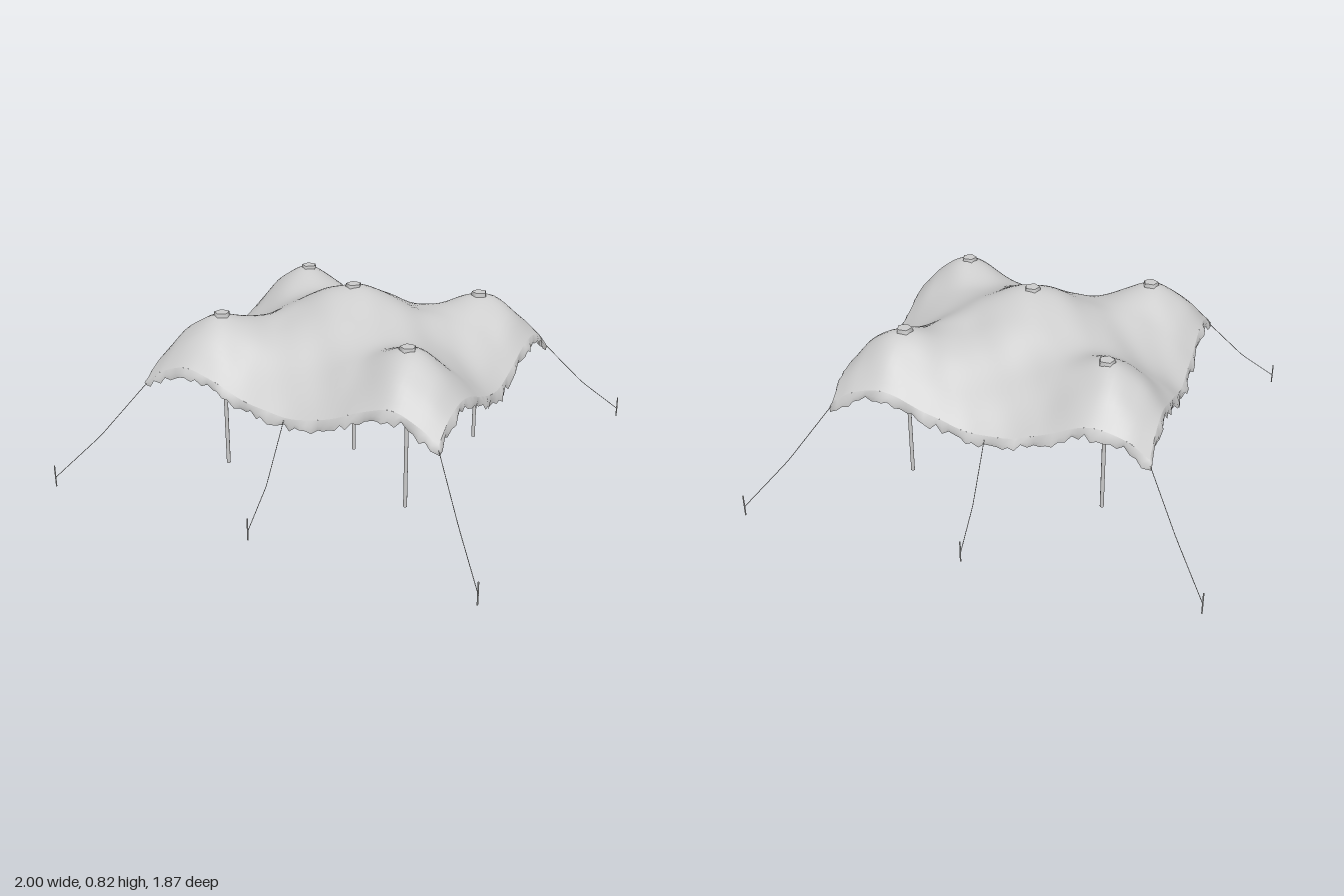
import * as THREE from 'three';

const HX = 0.695, HZ = 0.625; // half size of the cloth
const POLE_X = 0.448, POLE_Z = 0.387;

// canopy heights for one quarter: rows run out along z, columns along x
const KX = [0, 0.225, 0.45, 0.6, HX];
const KZ = [0, 0.19, 0.387, 0.52, HZ];
const HEIGHTS = [
  [0.81, 0.735, 0.60, 0.51, 0.435],
  [0.74, 0.69, 0.645, 0.565, 0.485],
  [0.60, 0.635, 0.725, 0.655, 0.55],
  [0.51, 0.55, 0.66, 0.60, 0.525],
  [0.42, 0.465, 0.55, 0.515, 0.455],
];

// smooth curve through values at uneven knots, mirrored about zero
function spline(knots, values, t) {
  const n = knots.length;
  let i = 0;
  while (i < n - 2 && t > knots[i + 1]) i++;
  const slope = (k) => {
    if (k === 0) return 0;
    const a = k - 1, b = Math.min(k + 1, n - 1);
    return (values[b] - values[a]) / (knots[b] - knots[a]);
  };
  const w = knots[i + 1] - knots[i], s = (t - knots[i]) / w;
  const s2 = s * s, s3 = s2 * s;
  return values[i] * (2 * s3 - 3 * s2 + 1) + slope(i) * w * (s3 - 2 * s2 + s)
    + values[i + 1] * (3 * s2 - 2 * s3) + slope(i + 1) * w * (s3 - s2);
}

function clothHeight(x, z) {
  const ax = Math.min(Math.abs(x), HX), az = Math.min(Math.abs(z), HZ);
  const column = HEIGHTS.map((row) => spline(KX, row, ax));
  const wrinkle = 0.004 * Math.sin(17 * x + 9 * z) * Math.cos(14 * z - 6 * x + 1)
    + 0.002 * Math.sin(31 * x - 23 * z);
  return spline(KZ, column, az) + wrinkle;
}

function seeded(seed) {
  let s = seed;
  return () => (s = (s * 16807) % 2147483647) / 2147483647;
}

export function createModel() {
  const model = new THREE.Group();
  model.name = 'canopyTent';
  const grey = new THREE.MeshStandardMaterial({ color: 0xcccccc, side: THREE.DoubleSide });
  grey.name = 'lightGrey';

  const add = (geometry, name, x = 0, y = 0, z = 0) => {
    const mesh = new THREE.Mesh(geometry, grey);
    mesh.name = name;
    mesh.position.set(x, y, z);
    model.add(mesh);
    return mesh;
  };

  // draped cloth
  const cloth = new THREE.PlaneGeometry(HX * 2, HZ * 2, 56, 50).rotateX(-Math.PI / 2);
  const p = cloth.attributes.position;
  for (let i = 0; i < p.count; i++) p.setY(i, clothHeight(p.getX(i), p.getZ(i)));
  cloth.computeVertexNormals();
  add(cloth, 'canopy');

  // ragged hem hanging round the edge
  const corners = [[-HX, HZ], [HX, HZ], [HX, -HZ], [-HX, -HZ]];
  const perSide = 52, total = perSide * 4;
  const hem = new THREE.PlaneGeometry(1, 1, total, 2);
  const h = hem.attributes.position;
  const random = seeded(77);
  const teeth = Array.from({ length: total }, (_, i) => ({
    drop: 0.025 + 0.014 * (i % 2) + 0.022 * random(),
    out: 0.004 + 0.012 * random() + 0.008 * Math.sin(i * 0.9),
  }));
  for (let i = 0; i <= total; i++) {
    const k = i % total, side = Math.floor(k / perSide), f = (k % perSide) / perSide;
    const a = corners[side], b = corners[(side + 1) % 4];
    const x = a[0] + (b[0] - a[0]) * f, z = a[1] + (b[1] - a[1]) * f;
    const y = clothHeight(x, z);
    // push outwards along the side, diagonally at the corners
    const nx = Math.abs(x) > HX - 0.001 ? Math.sign(x) : 0;
    const nz = Math.abs(z) > HZ - 0.001 ? Math.sign(z) : 0;
    for (let row = 0; row < 3; row++) {
      const q = row / 2, out = teeth[k].out * q + 0.006 * Math.sin(q * Math.PI);
      h.setXYZ(row * (total + 1) + i, x + nx * out, y - teeth[k].drop * q, z + nz * out);
    }
  }
  hem.computeVertexNormals();
  add(hem, 'raggedHem');

  // poles with five-sided caps
  const poles = [[0, 0]];
  for (const sx of [-1, 1]) for (const sz of [-1, 1]) poles.push([sx * POLE_X, sz * POLE_Z]);
  for (const [x, z] of poles) {
    const top = x === 0 ? 0.815 : 0.73;
    add(new THREE.CylinderGeometry(0.009, 0.009, top, 8), 'pole', x, top / 2, z);
    add(new THREE.CylinderGeometry(0.034, 0.038, 0.018, 5), 'poleCap', x, top - 0.004, z);
  }

  // guy ropes and ground stakes at the corners and the middle of front and back
  for (const sz of [-1, 1]) {
    for (const sx of [-1, 0, 1]) {
      const rope = new THREE.CurvePath();
      const points = [
        [0.695 * sx, sx ? 0.44 : 0.41, 0.63 * sz],
        [0.85 * sx, sx ? 0.215 : 0.175, 0.78 * sz],
        [sx, 0.04, 0.932 * sz],
      ].map((v) => new THREE.Vector3(...v));
      rope.add(new THREE.LineCurve3(points[0], points[1]));
      rope.add(new THREE.LineCurve3(points[1], points[2]));
      add(new THREE.TubeGeometry(rope, 12, 0.0016, 5), 'guyRope');
      add(new THREE.CylinderGeometry(0.003, 0.003, 0.1, 6), 'stake', sx * 0.997, 0.05, 0.932 * sz);
    }
  }
  return model;
}
